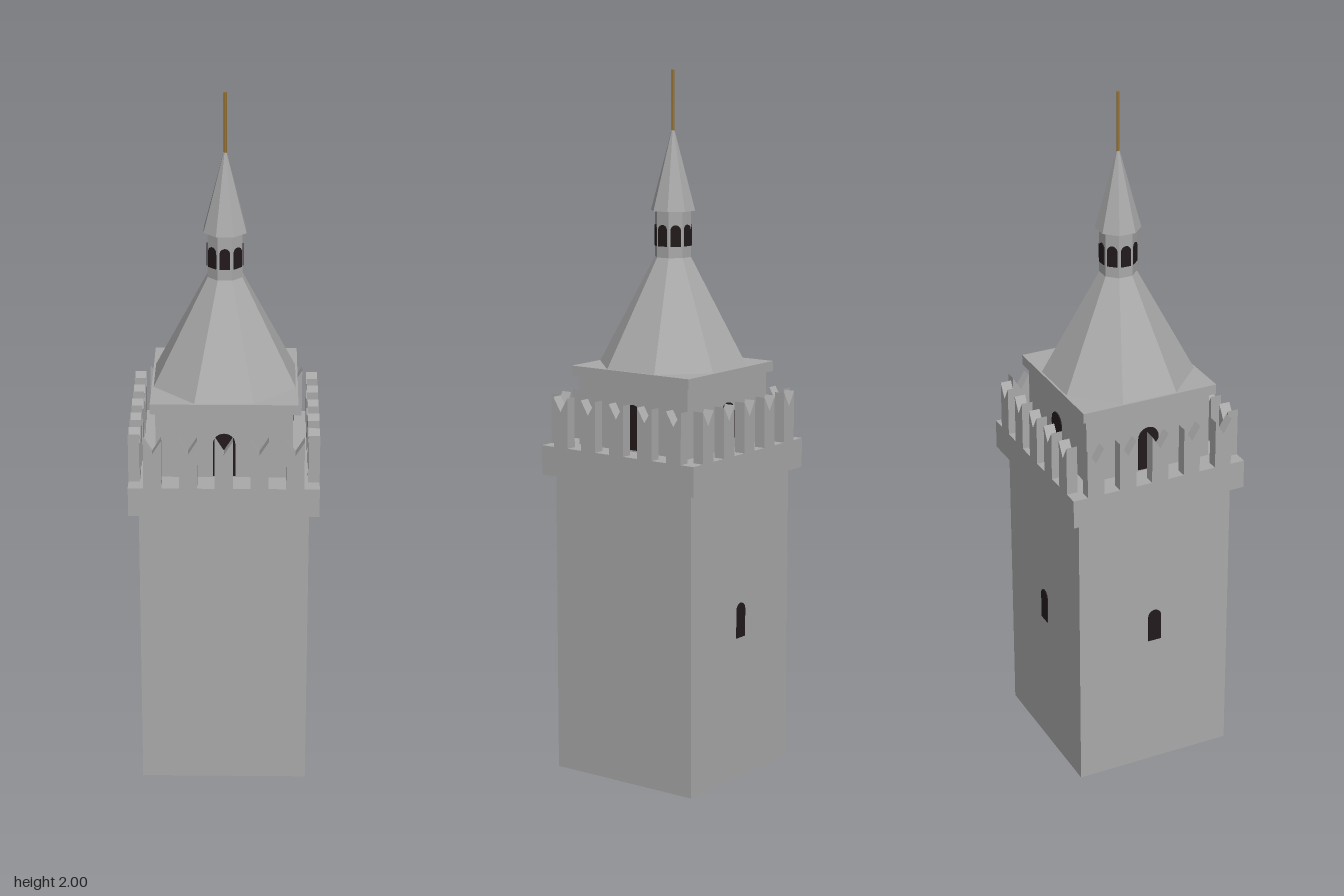
import * as THREE from 'three';

const stone = new THREE.MeshStandardMaterial({ color: 0xaaaaaa, flatShading: true, side: THREE.DoubleSide });
stone.name = 'stone';
const dark = new THREE.MeshStandardMaterial({ color: 0x231a1c });
dark.name = 'windowDark';
const brass = new THREE.MeshStandardMaterial({ color: 0x9a7432 });
brass.name = 'brass';

function add(parent, name, geometry, material = stone) {
  const mesh = new THREE.Mesh(geometry, material);
  mesh.name = name;
  parent.add(mesh);
  return mesh;
}

// Square block given by its half width and its bottom and top heights
function block(half, y0, y1) {
  return new THREE.BoxGeometry(half * 2, y1 - y0, half * 2).translate(0, (y0 + y1) / 2, 0);
}

// Eight-sided frustum given by the distances to its flat sides
function octagon(bottom, top, y0, y1) {
  const k = 1 / Math.cos(Math.PI / 8);
  return new THREE.CylinderGeometry(top * k, bottom * k, y1 - y0, 8, 1, false, Math.PI / 8)
    .translate(0, (y0 + y1) / 2, 0);
}

// Thin round-arched plate facing +z, lying on a wall at distance z
function archWindow(width, y0, y1, z) {
  const r = width / 2;
  const shape = new THREE.Shape();
  shape.moveTo(-r, y0);
  shape.lineTo(r, y0);
  shape.lineTo(r, y1 - r);
  shape.absarc(0, y1 - r, r, 0, Math.PI, false);
  shape.closePath();
  return new THREE.ExtrudeGeometry(shape, { depth: 0.004, bevelEnabled: false, curveSegments: 6 })
    .translate(0, 0, z - 0.001);
}

// Swallow-tailed battlement
function merlonGeometry() {
  const shape = new THREE.Shape();
  shape.moveTo(-0.025, 0.95);
  shape.lineTo(0.025, 0.95);
  shape.lineTo(0.025, 1.093);
  shape.lineTo(0, 1.052);
  shape.lineTo(-0.025, 1.093);
  shape.closePath();
  return new THREE.ExtrudeGeometry(shape, { depth: 0.032, bevelEnabled: false }).translate(0, 0, 0.233);
}

export function createModel() {
  const tower = new THREE.Group();
  tower.name = 'tower';

  // Hollow shaft, open at the bottom
  const h = 0.237;
  const shaft = new THREE.CylinderGeometry(h * Math.SQRT2, h * Math.SQRT2, 0.87, 4, 1, true, Math.PI / 4);
  add(tower, 'shaft', shaft.translate(0, 0.435, 0));

  // Gallery, belfry room and cornice
  add(tower, 'gallery', block(0.265, 0.865, 0.95));
  add(tower, 'belfry', block(0.19, 0.95, 1.147));
  add(tower, 'cornice', block(0.204, 1.147, 1.176));

  // Battlements and belfry windows on all four sides
  const merlon = merlonGeometry();
  for (let side = 0; side < 4; side++) {
    const wall = new THREE.Group();
    wall.name = 'gallerySide';
    wall.rotation.y = side * Math.PI / 2;
    for (let i = -2; i <= 2; i++) add(wall, 'merlon', merlon).position.x = i * 0.0985;
    add(wall, 'belfryWindow', archWindow(0.062, 0.955, 1.083, 0.19), dark);
    tower.add(wall);
  }

  // Shaft windows on the back and on the -x side
  for (const angle of [Math.PI, -Math.PI / 2]) {
    add(tower, 'shaftWindow', archWindow(0.04, 0.413, 0.513, h), dark).rotation.y = angle;
  }

  // Roof, lantern and spire
  add(tower, 'roof', octagon(0.198, 0.048, 1.176, 1.48));
  add(tower, 'lantern', octagon(0.048, 0.048, 1.48, 1.61));
  add(tower, 'spire', octagon(0.059, 0.001, 1.61, 1.845));
  for (let i = 0; i < 8; i++) {
    add(tower, 'lanternWindow', archWindow(0.029, 1.512, 1.572, 0.048), dark).rotation.y = i * Math.PI / 4;
  }

  // Finial rod
  add(tower, 'finial', new THREE.CylinderGeometry(0.0045, 0.0045, 0.17, 8).translate(0, 1.915, 0), brass);

  return tower;
}
